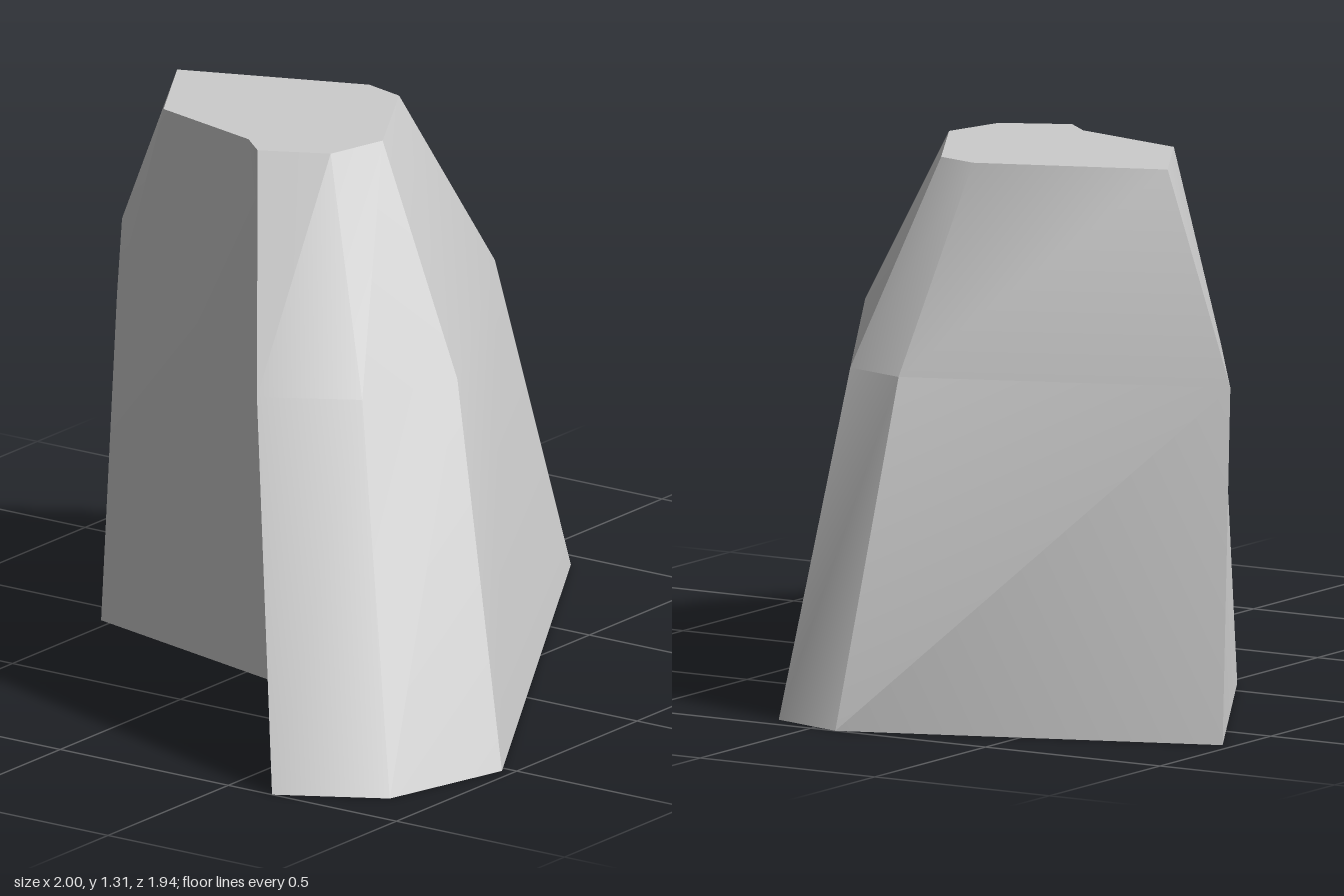
import * as THREE from 'three';
import { toCreasedNormals } from 'three/addons/utils/BufferGeometryUtils.js';

// Three horizontal outlines [x, z], counter-clockwise from above
const rings = [
  { y: 0, pts: [[-1, 0.63], [-0.86, 0.88], [-0.52, 0.97], [0.94, 0.13], [1, -0.07], [0.67, -0.97], [-0.09, -0.53], [-0.28, 0.21]] },
  { y: 0.83, pts: [[-0.56, 0.27], [-0.43, 0.49], [-0.16, 0.58], [0.68, 0.09], [0.73, -0.08], [0.43, -0.84], [-0.08, -0.49], [-0.23, 0.09]] },
  { y: 1.31, pts: [[-0.18, 0], [-0.1, 0.16], [0.06, 0.2], [0.38, 0.02], [0.41, -0.09], [0.24, -0.54], [-0.04, -0.38], [-0.12, -0.07]] },
];

function loftRings() {
  const n = rings[0].pts.length;
  const positions = rings.flatMap(({ y, pts }) => pts.flatMap(([x, z]) => [x, y, z]));
  const index = [];

  // Sloping walls between neighbouring outlines
  for (let r = 0; r < rings.length - 1; r++) {
    for (let i = 0; i < n; i++) {
      const j = (i + 1) % n;
      const a = r * n + i, b = r * n + j, c = a + n, d = b + n;
      index.push(a, b, d, a, d, c);
    }
  }

  // Flat underside and flat summit
  const cap = (r, up) => {
    const outline = rings[r].pts.map(([x, z]) => new THREE.Vector2(x, -z));
    for (const [a, b, c] of THREE.ShapeUtils.triangulateShape(outline, [])) {
      const o = r * n;
      index.push(o + a, o + (up ? b : c), o + (up ? c : b));
    }
  };
  cap(0, false);
  cap(rings.length - 1, true);

  const geometry = new THREE.BufferGeometry();
  geometry.setAttribute('position', new THREE.Float32BufferAttribute(positions, 3));
  geometry.setIndex(index);
  // Soft bends stay smooth, strong corners stay sharp
  return toCreasedNormals(geometry, 0.62);
}

export function createModel() {
  const model = new THREE.Group();
  model.name = 'rockMound';
  const stone = new THREE.MeshStandardMaterial({ color: 0xcccccc });
  stone.name = 'grey stone';
  const rock = new THREE.Mesh(loftRings(), stone);
  rock.name = 'rock';
  model.add(rock);
  return model;
}
